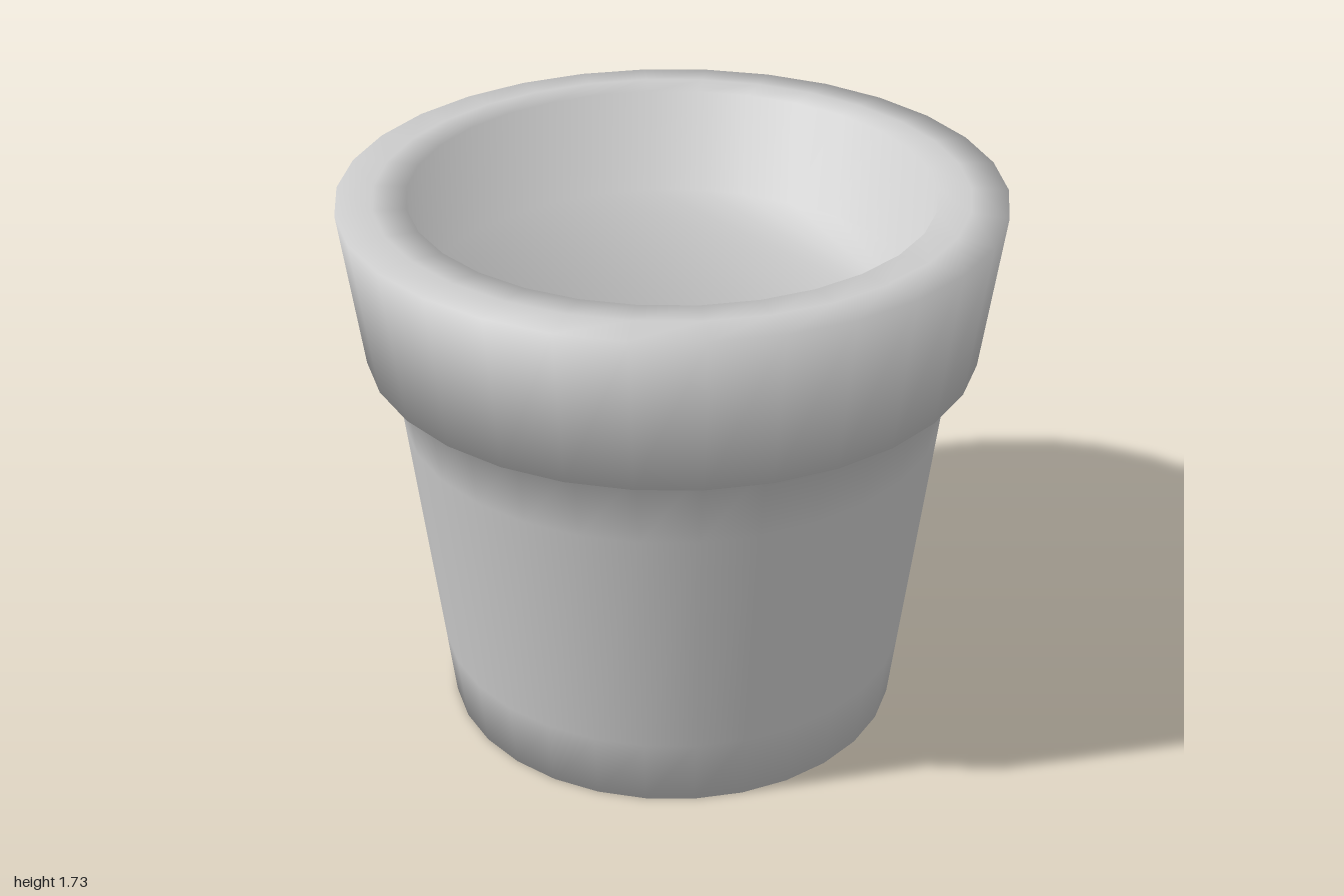
import * as THREE from 'three';

const SIDES = 30;

// Closed, softly shaded turned solid: rings of [radius, y] with a flat cap at both ends
function turnedSolid(profile) {
  const n = profile.length;
  const path = [[0, profile[0][1]], ...profile, [0, profile[n - 1][1]]];
  const edgeNormal = (p, q) => new THREE.Vector2(q[1] - p[1], p[0] - q[0]).normalize();
  const positions = [], normals = [], index = [];

  for (let j = 0; j < n; j++) {
    const [r, y] = profile[j];
    const m = edgeNormal(path[j], path[j + 1]).add(edgeNormal(path[j + 1], path[j + 2])).normalize();
    for (let i = 0; i < SIDES; i++) {
      const a = (i / SIDES) * Math.PI * 2;
      positions.push(r * Math.cos(a), y, r * Math.sin(a));
      normals.push(m.x * Math.cos(a), m.y, m.x * Math.sin(a));
    }
  }

  // Walls between neighbouring rings
  for (let j = 0; j < n - 1; j++) {
    for (let i = 0; i < SIDES; i++) {
      const k = (i + 1) % SIDES;
      const a = j * SIDES + i, b = j * SIDES + k;
      index.push(a, a + SIDES, b, b, a + SIDES, b + SIDES);
    }
  }

  // Base underneath and floor inside
  const top = (n - 1) * SIDES;
  for (let i = 1; i < SIDES - 1; i++) {
    index.push(0, i, i + 1);
    index.push(top, top + i + 1, top + i);
  }

  const geometry = new THREE.BufferGeometry();
  geometry.setAttribute('position', new THREE.Float32BufferAttribute(positions, 3));
  geometry.setAttribute('normal', new THREE.Float32BufferAttribute(normals, 3));
  geometry.setIndex(index);
  return geometry;
}

export function createModel() {
  const group = new THREE.Group();
  group.name = 'flowerPot';

  const profile = [
    [0.72, 0],      // base edge
    [0.745, 0.22],  // body
    [0.834, 1.0],
    [0.861, 1.235], // under the lip
    [0.937, 1.235], // lip
    [1.0, 1.722],
    [0.89, 1.728],  // crown of the rim
    [0.79, 1.725],  // rim, inner edge
    [0.775, 1.38],  // inner floor
  ];
  const pot = new THREE.Mesh(
    turnedSolid(profile),
    new THREE.MeshStandardMaterial({ color: 0xcccccc })
  );
  pot.name = 'pot';
  group.add(pot);
  return group;
}
